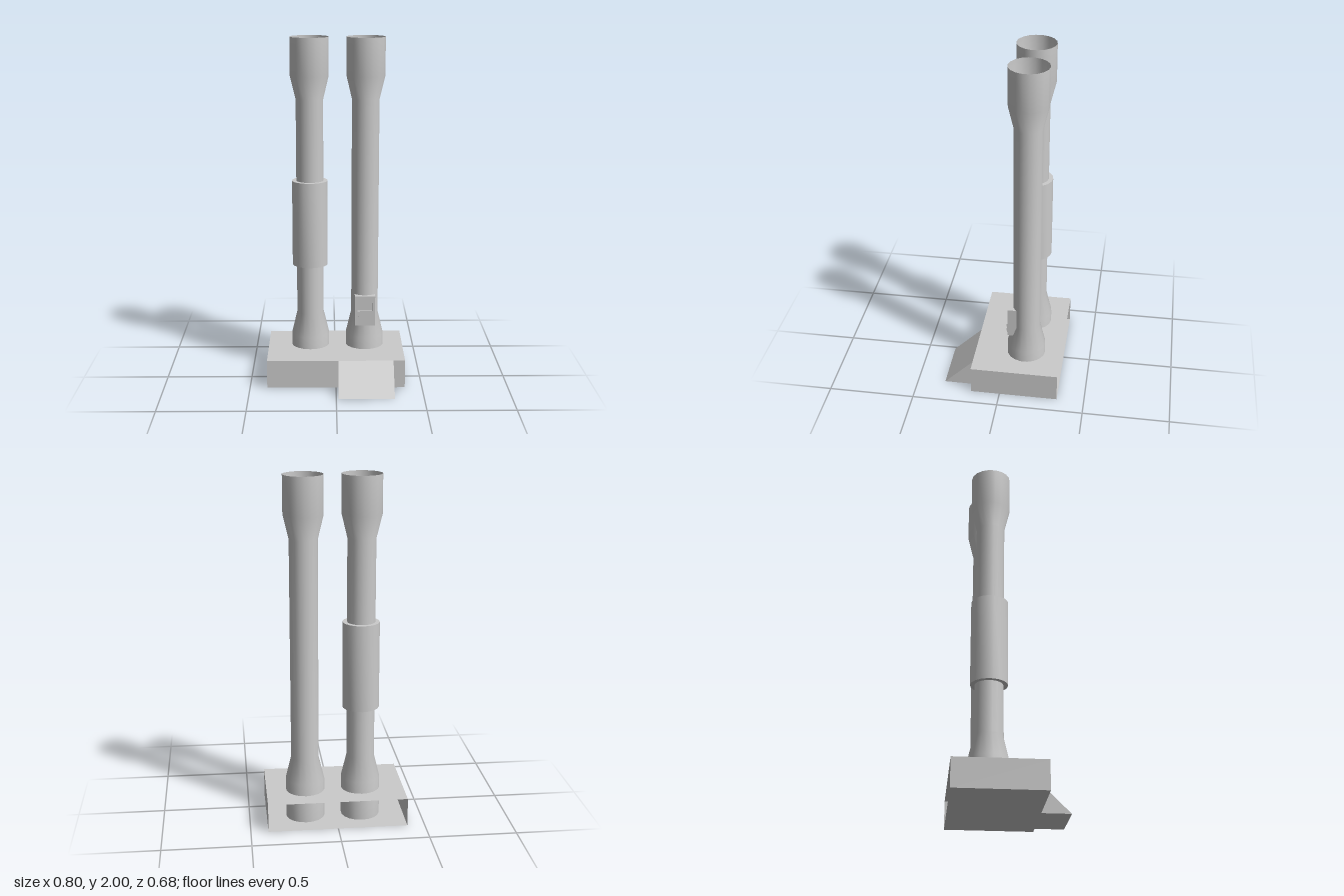
import * as THREE from 'three';
import { toCreasedNormals } from 'three/addons/utils/BufferGeometryUtils.js';

export function createModel() {
  const model = new THREE.Group();
  const grey = new THREE.MeshStandardMaterial({ color: 0xcccccc });
  const thin = new THREE.MeshStandardMaterial({ color: 0xcccccc, side: THREE.DoubleSide });
  const SIDES = 18, COLUMN_Z = -0.13;

  function add(name, geometry, material, x = 0, y = 0, z = 0, parent = model) {
    const mesh = new THREE.Mesh(geometry, material);
    mesh.name = name;
    mesh.position.set(x, y, z);
    parent.add(mesh);
    return mesh;
  }
  const lathe = (points) =>
    new THREE.LatheGeometry(points.map(([r, y]) => new THREE.Vector2(r, y)), SIDES);

  // Hollow plinth of thin sheets, open at the back
  const base = new THREE.Group();
  base.name = 'base';
  model.add(base);
  const W = 0.8, H = 0.165, D = 0.51, midZ = -0.085;
  for (const [name, y] of [['floor', 0], ['deck', H]]) {
    add(name, new THREE.PlaneGeometry(W, D).rotateX(y ? -Math.PI / 2 : Math.PI / 2), thin, 0, y, midZ, base);
  }
  for (const s of [-1, 1]) {
    add(s > 0 ? 'leftWall' : 'rightWall',
      new THREE.PlaneGeometry(D, H).rotateY(s * Math.PI / 2), thin, s * W / 2, H / 2, midZ, base);
  }
  add('frontWall', new THREE.PlaneGeometry(W, H), thin, 0, H / 2, midZ + D / 2, base);

  // Wedge ramp in front of the plinth
  const wedge = new THREE.Shape([
    new THREE.Vector2(0.17, 0), new THREE.Vector2(0.338, 0), new THREE.Vector2(0.17, H)]);
  add('ramp', new THREE.ExtrudeGeometry(wedge, { depth: 0.32, bevelEnabled: false })
    .rotateY(-Math.PI / 2), grey, 0.333);

  // Two open pipes, flared at foot and mouth
  const pipe = [[0.1125, 0], [0.1125, 0.235], [0.08, 0.37], [0.08, 1.645], [0.1125, 1.78], [0.1125, 2]];
  add('rightColumn', lathe(pipe), thin, -0.15, 0, COLUMN_Z);
  add('leftColumn', lathe(pipe), thin, 0.173, 0, COLUMN_Z);

  // Sleeve around the right column
  const sleeve = lathe([[0.077, 0.665], [0.105, 0.665], [0.105, 1.17], [0.077, 1.17], [0.077, 0.665]]);
  add('sleeve', toCreasedNormals(sleeve, 0.7), grey, -0.15, 0, COLUMN_Z);

  // Control box on the left column: body, screen frame and keypad
  const control = new THREE.Group();
  control.name = 'controlBox';
  control.position.set(0.173, 0, 0);
  model.add(control);
  add('body', new THREE.BoxGeometry(0.12, 0.18, 0.05), grey, 0, 0.4, -0.06, control);
  const frame = new THREE.Shape([[-0.06, 0.31], [0.06, 0.31], [0.06, 0.49], [-0.06, 0.49]]
    .map(([x, y]) => new THREE.Vector2(x, y)));
  frame.holes.push(new THREE.Path([[-0.043, 0.4], [-0.043, 0.475], [0.043, 0.475], [0.043, 0.4]]
    .map(([x, y]) => new THREE.Vector2(x, y))));
  add('screenFrame', new THREE.ExtrudeGeometry(frame, { depth: 0.01, bevelEnabled: false }),
    grey, 0, 0, -0.035, control);
  add('keypad', new THREE.BoxGeometry(0.09, 0.06, 0.005), grey, 0, 0.35, -0.0225, control);
  for (const x of [-0.022, 0.022]) {
    for (const y of [0.336, 0.364]) {
      add('key', new THREE.BoxGeometry(0.03, 0.018, 0.004), grey, x, y, -0.018, control);
    }
  }
  return model;
}
